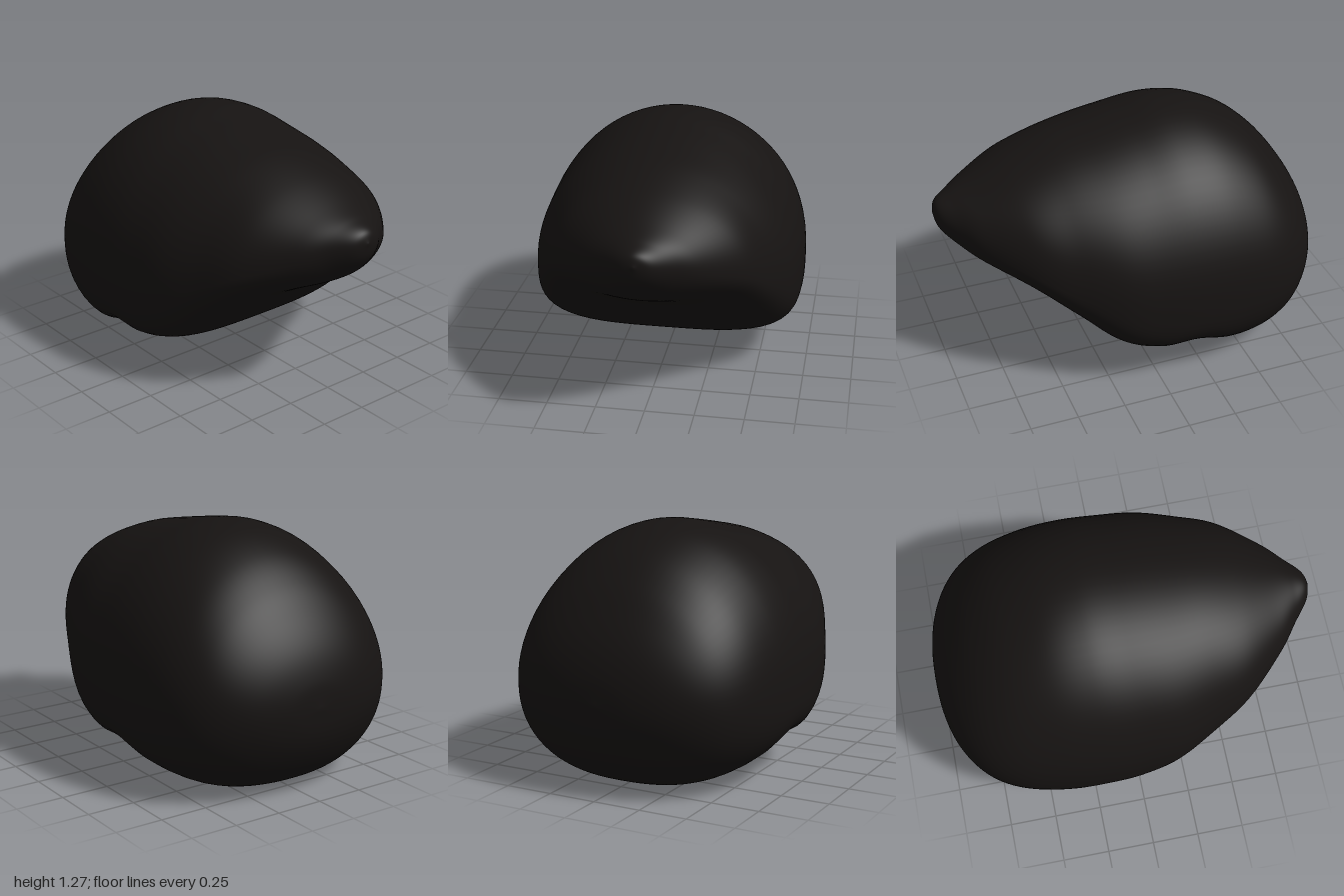
import * as THREE from 'three';
import { mergeVertices } from 'three/addons/utils/BufferGeometryUtils.js';

// Stations from front tip to back:
// z, top y, bottom y, half width, height of widest point, squareness of underside
const STATIONS = [
  [1.0, 0.89, 0.89, 0, 0.89, 2],
  [0.975, 0.945, 0.80, 0.08, 0.87, 2],
  [0.9, 0.98, 0.71, 0.175, 0.84, 2],
  [0.8, 1.02, 0.635, 0.30, 0.79, 2.1],
  [0.6, 1.105, 0.53, 0.485, 0.70, 2.3],
  [0.4, 1.17, 0.37, 0.59, 0.60, 2.8],
  [0.2, 1.21, 0.20, 0.67, 0.53, 3.4],
  [0.0, 1.245, 0.145, 0.70, 0.49, 4],
  [-0.2, 1.27, 0.15, 0.71, 0.48, 4],
  [-0.4, 1.245, 0.05, 0.70, 0.48, 3.2],
  [-0.6, 1.155, 0.002, 0.665, 0.48, 2.6],
  [-0.75, 1.03, 0.035, 0.60, 0.48, 2.4],
  [-0.86, 0.89, 0.11, 0.50, 0.48, 2.2],
  [-0.94, 0.75, 0.22, 0.36, 0.47, 2],
  [-0.985, 0.61, 0.335, 0.19, 0.47, 2],
  [-1.0, 0.47, 0.47, 0, 0.47, 2],
];

// Smooth curve through three columns of the stations
function spline(first) {
  const points = STATIONS.map((s) => new THREE.Vector3(s[first], s[first + 1], s[first + 2]));
  return new THREE.CatmullRomCurve3(points, false, 'catmullrom', 0.5);
}

// Loft of cross-sections: round above the widest point, squarer below it
function loftGeometry(rows, sides) {
  const heights = spline(0);
  const widths = spline(3);
  const positions = [];
  const index = [];
  for (let i = 0; i <= rows; i++) {
    const { x: z, y: top, z: bottom } = heights.getPoint(i / rows);
    const { x: w, y: mid, z: n } = widths.getPoint(i / rows);
    for (let j = 0; j < sides; j++) {
      const a = (j / sides) * Math.PI * 2;
      const c = Math.cos(a);
      const s = Math.sin(a);
      const power = s < 0 ? n : 2;
      const r = Math.pow(Math.pow(Math.abs(c), power) + Math.pow(Math.abs(s), power), -1 / power);
      const reach = s < 0 ? mid - bottom : top - mid;
      positions.push(Math.max(w, 0) * c * r, mid + reach * s * r, z);
      if (i < rows) {
        const p = i * sides + j;
        const q = i * sides + ((j + 1) % sides);
        index.push(p, p + sides, q, q, p + sides, q + sides);
      }
    }
  }
  const geometry = new THREE.BufferGeometry();
  geometry.setAttribute('position', new THREE.Float32BufferAttribute(positions, 3));
  geometry.setIndex(index);
  // Join the tips so they shade smoothly
  const merged = mergeVertices(geometry, 1e-5);
  merged.computeVertexNormals();
  return merged;
}

export function createModel() {
  const group = new THREE.Group();
  group.name = 'smoothShell';

  // Dark rounded body with a pointed front and a bulge under the back
  const body = new THREE.Mesh(
    loftGeometry(120, 80),
    new THREE.MeshStandardMaterial({ color: 0x161312 })
  );
  body.name = 'body';
  group.add(body);
  return group;
}
